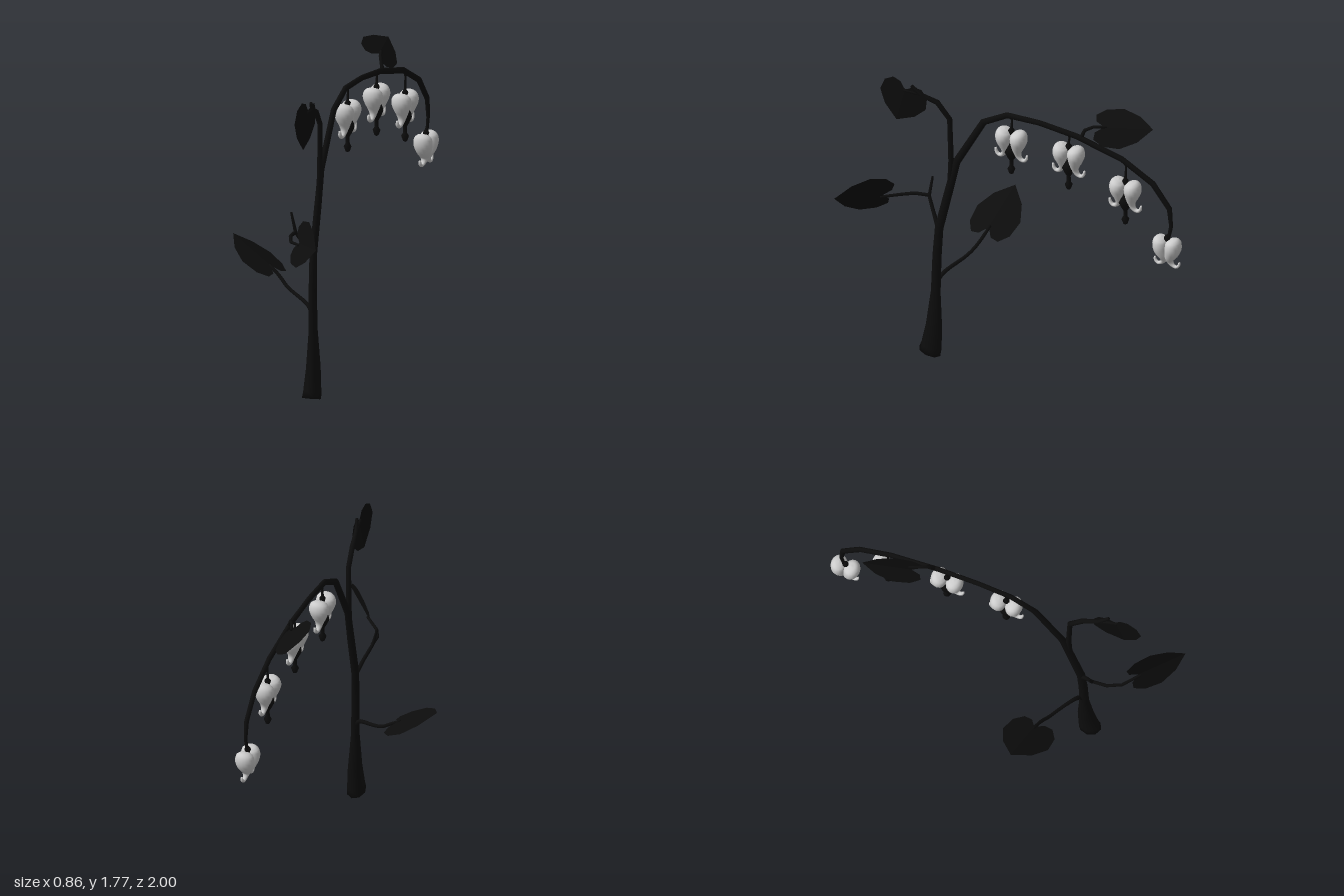
import * as THREE from 'three';

const dark = new THREE.MeshStandardMaterial({ color: 0x0c0c0c, side: THREE.DoubleSide });
dark.name = 'black foliage';
const pale = new THREE.MeshStandardMaterial({ color: 0xcccccc });
pale.name = 'pale petal';

// Tapering tube through [x, y, z, radius] points; "axis" is the cross-section's
// reference direction and "flat" scales the section along it.
function sweep(pts, { axis = [1, 0, 0], flat = 1, sides = 8, steps = 0 } = {}) {
  let c = pts.map(p => new THREE.Vector3(p[0], p[1], p[2]));
  let r = pts.map(p => p[3]);
  if (steps) {
    const path = new THREE.CatmullRomCurve3(c);
    const radii = new THREE.CatmullRomCurve3(r.map(v => new THREE.Vector3(v, 0, 0)), false, 'catmullrom', 0.5);
    c = []; 
    r = [];
    for (let i = 0; i <= steps; i++) {
      c.push(path.getPoint(i / steps));
      r.push(Math.max(0.001, radii.getPoint(i / steps).x));
    }
  }
  const n = c.length, pos = [], idx = [], ref = new THREE.Vector3(...axis);
  c.forEach((p, i) => {
    const t = c[Math.min(i + 1, n - 1)].clone().sub(c[Math.max(i - 1, 0)]).normalize();
    const u = ref.clone().addScaledVector(t, -ref.dot(t)).normalize();
    const v = t.clone().cross(u);
    for (let j = 0; j < sides; j++) {
      const a = (j / sides) * Math.PI * 2;
      const q = p.clone().addScaledVector(u, r[i] * flat * Math.cos(a)).addScaledVector(v, r[i] * Math.sin(a));
      pos.push(q.x, q.y, q.z);
    }
  });
  for (let i = 0; i < n - 1; i++) {
    for (let j = 0; j < sides; j++) {
      const k = (j + 1) % sides, a = i * sides, b = a + sides;
      idx.push(a + j, a + k, b + j, a + k, b + k, b + j);
    }
  }
  // end caps
  const s = n * sides, last = (n - 1) * sides;
  pos.push(...c[0].toArray(), ...c[n - 1].toArray());
  for (let j = 0; j < sides; j++) {
    const k = (j + 1) % sides;
    idx.push(s, k, j, s + 1, last + j, last + k);
  }
  const g = new THREE.BufferGeometry();
  g.setAttribute('position', new THREE.Float32BufferAttribute(pos, 3));
  g.setIndex(idx);
  g.computeVertexNormals();
  return g;
}

function add(parent, name, geometry, material) {
  const m = new THREE.Mesh(geometry, material);
  m.name = name;
  parent.add(m);
  return m;
}

// Heart leaf: two mirrored halves folded along the midrib.
function leaf(base, tip, across, halfWidth, fold) {
  const g = new THREE.Group();
  g.name = 'heartLeaf';
  const d = new THREE.Vector3(...tip).sub(new THREE.Vector3(...base));
  const len = d.length();
  d.normalize();
  const w = new THREE.Vector3(...across);
  w.addScaledVector(d, -w.dot(d)).normalize();
  const outline = [[0, 0], [-0.18, 0.28], [-0.2, 0.62], [0, 0.93], [0.35, 1], [0.7, 0.65], [1, 0]];
  for (const side of [1, -1]) {
    const shape = new THREE.Shape(outline.map(([l, h]) => new THREE.Vector2(l * len, h * halfWidth * side)));
    const half = add(g, 'leafHalf', new THREE.ShapeGeometry(shape), dark);
    half.rotation.x = side * fold;
  }
  const m = new THREE.Matrix4().makeBasis(d, w, d.clone().cross(w));
  g.quaternion.setFromRotationMatrix(m);
  g.position.set(...base);
  return g;
}

// Puffy petal from rounded top down to a curled tip; mirrored in z for its twin.
const openPetal = [
  [0, 0.088, 0.040, 0.003], [0, 0.083, 0.041, 0.026], [0, 0.066, 0.044, 0.043], [0, 0.035, 0.045, 0.048],
  [0, 0.0, 0.042, 0.040], [0, -0.035, 0.038, 0.027], [0, -0.065, 0.042, 0.017], [0, -0.088, 0.058, 0.012],
  [0, -0.092, 0.078, 0.010], [0, -0.078, 0.092, 0.009], [0, -0.055, 0.097, 0.006],
];
const budPetal = [
  [0, 0.085, 0.036, 0.003], [0, 0.080, 0.037, 0.025], [0, 0.063, 0.039, 0.041], [0, 0.032, 0.038, 0.046],
  [0, 0.0, 0.031, 0.042], [0, -0.035, 0.020, 0.031], [0, -0.062, 0.019, 0.018], [0, -0.084, 0.034, 0.011],
  [0, -0.092, 0.055, 0.009], [0, -0.078, 0.072, 0.008], [0, -0.058, 0.076, 0.005],
];

function flower(y, z, stemY, open) {
  const g = new THREE.Group();
  g.name = open ? 'openFlower' : 'youngFlower';
  g.position.set(0.142, y, z);
  for (const side of [1, -1]) {
    const pts = (open ? openPetal : budPetal).map(p => [p[0], p[1], p[2] * side, p[3]]);
    add(g, 'petal', sweep(pts, { flat: 1.2, sides: 16, steps: 30 }), pale);
  }
  // hanging stalk with a small bead above the petals
  const top = stemY - y;
  add(g, 'flowerStalk', sweep([
    [0, top, 0, 0.007], [0, top * 0.6 + 0.04, -0.004, 0.006], [0, 0.10, 0, 0.008],
    [0, 0.085, 0, 0.019], [0, 0.065, 0, 0.012], [0, 0.04, 0, 0.006],
  ]), dark);
  if (open) {
    const profile = [[0, -0.2], [0.012, -0.193], [0.022, -0.165], [0.012, -0.148], [0.011, -0.11],
      [0.022, -0.09], [0.038, -0.055], [0.034, -0.03], [0.012, 0.01], [0, 0.02]];
    add(g, 'innerPetals', new THREE.LatheGeometry(profile.map(p => new THREE.Vector2(...p)), 10), dark);
  }
  return g;
}

export function createModel() {
  const model = new THREE.Group();
  model.name = 'heartFlowerPlant';

  add(model, 'mainStem', sweep([
    [0.167, 0.03, 0.535, 0.066], [0.166, 0.07, 0.525, 0.062], [0.165, 0.2, 0.51, 0.05], [0.16, 0.42, 0.502, 0.03],
    [0.155, 0.65, 0.497, 0.028], [0.152, 0.84, 0.485, 0.026], [0.15, 1.1, 0.425, 0.025], [0.147, 1.3, 0.378, 0.022],
    [0.143, 1.6, 0.215, 0.02], [0.142, 1.685, 0.07, 0.018], [0.142, 1.692, -0.13, 0.017], [0.142, 1.67, -0.36, 0.018],
    [0.142, 1.6, -0.64, 0.018], [0.142, 1.495, -0.83, 0.018], [0.142, 1.36, -0.932, 0.017],
    [0.142, 1.25, -0.942, 0.012], [0.142, 1.16, -0.925, 0.01],
  ], { flat: 0.78 }), dark);

  // side branches and leaf stalks
  add(model, 'upperBranch', sweep([
    [0.15, 1.1, 0.422, 0.015], [0.155, 1.3, 0.41, 0.016], [0.16, 1.57, 0.416, 0.015], [0.17, 1.665, 0.487, 0.015],
    [0.19, 1.70, 0.575, 0.012], [0.209, 1.755, 0.627, 0.009],
  ]), dark);
  add(model, 'upperLeafStalk', sweep([[0.188, 1.7, 0.565, 0.011], [0.2, 1.71, 0.62, 0.01], [0.21, 1.715, 0.675, 0.008]]), dark);
  add(model, 'middleBranch', sweep([
    [0.152, 0.82, 0.487, 0.014], [0.125, 0.9, 0.53, 0.011], [0.09, 0.985, 0.578, 0.010], [0.06, 1.095, 0.572, 0.007],
  ]), dark);
  add(model, 'middleLeafStalk', sweep([
    [0.09, 0.99, 0.575, 0.010], [0.1, 0.985, 0.66, 0.01], [0.14, 0.977, 0.735, 0.009], [0.23, 0.99, 0.81, 0.008],
  ], { axis: [0, 1, 0] }), dark);
  add(model, 'lowerLeafStalk', sweep([
    [0.155, 0.48, 0.5, 0.013], [0.125, 0.53, 0.475, 0.012], [0.08, 0.553, 0.45, 0.011], [0, 0.578, 0.41, 0.01],
    [-0.06, 0.603, 0.385, 0.01], [-0.12, 0.65, 0.36, 0.01], [-0.19, 0.7, 0.343, 0.009],
  ], { axis: [0, 0, 1], steps: 14 }), dark);
  add(model, 'archLeafStalk', sweep([
    [0.142, 1.665, -0.385, 0.012], [0.125, 1.712, -0.4, 0.01], [0.1, 1.73, -0.44, 0.009], [0.07, 1.735, -0.51, 0.008],
  ], { axis: [1, 0, 0] }), dark);

  model.add(
    leaf([0.212, 1.72, 0.665], [0.208, 1.51, 0.72], [0.04, 0, 1], 0.142, 0.08),
    leaf([0.225, 1.0, 0.80], [0.425, 1.035, 0.995], [0.25, 1, -0.25], 0.132, 0.12),
    leaf([-0.18, 0.695, 0.345], [-0.43, 0.84, 0.31], [0, 0, 1], 0.142, -0.12),
    leaf([0.065, 1.725, -0.49], [-0.008, 1.742, -0.755], [0.8, -0.6, 0], 0.12, 0.15),
  );

  model.add(
    flower(1.51, 0.044, 1.685, true),
    flower(1.51, -0.31, 1.675, true),
    flower(1.383, -0.66, 1.595, true),
    flower(1.085, -0.917, 1.19, false),
  );
  return model;
}
